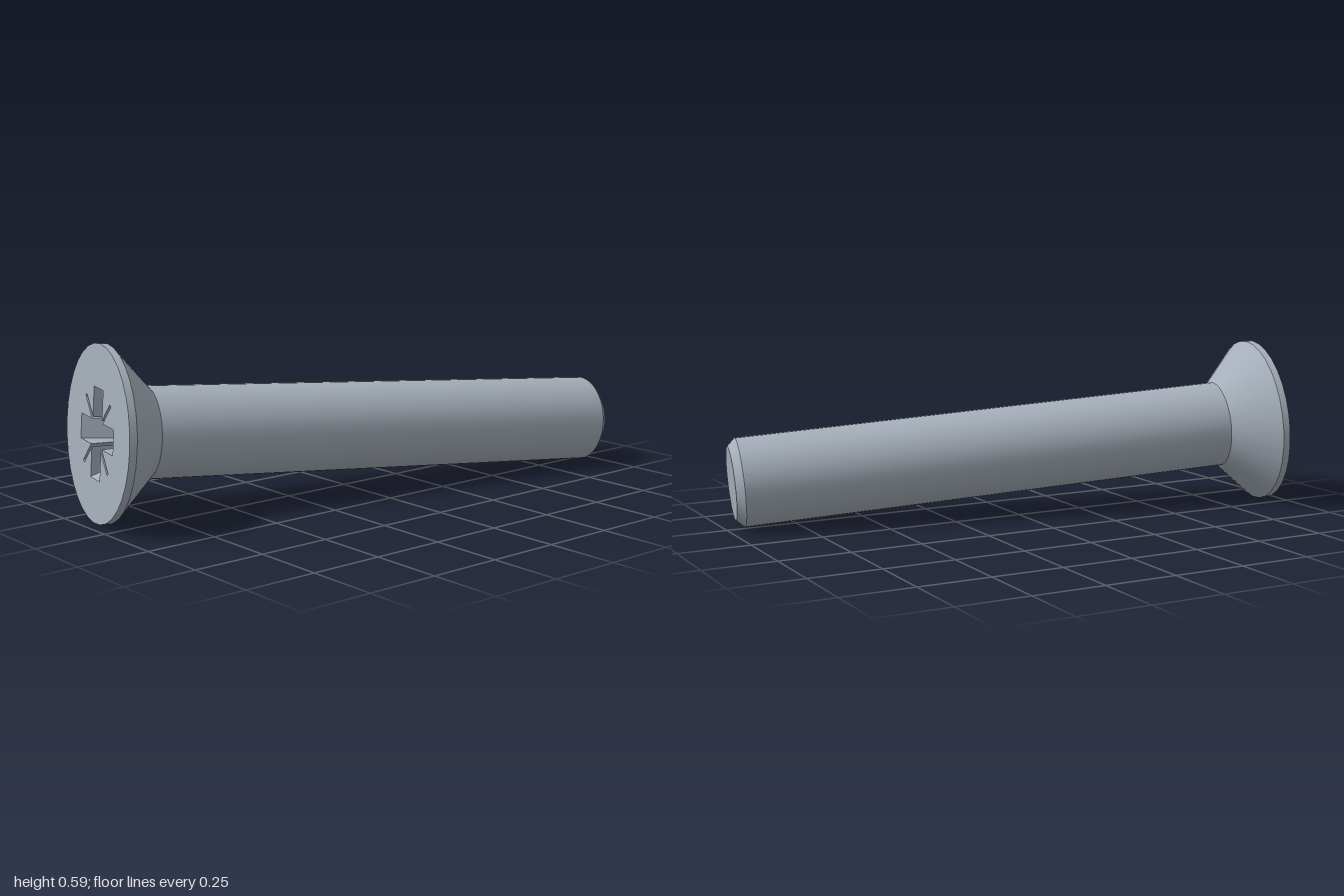
import * as THREE from 'three';

const SIDES = 32;
const HEAD_R = 0.295, SHAFT_R = 0.155, TIP_R = 0.128;
const RIM = 0.025, CONE_END = 0.165;

// Cross outline with a thin slit in each inner corner, counter-clockwise
function crossOutline(arm, half, slit) {
  const quadrant = [
    [arm, -half], [arm, half],
    [half + 0.008, half], [slit + 0.004, slit - 0.004],
    [slit - 0.004, slit + 0.004], [half, half + 0.008],
  ];
  const points = [];
  for (let q = 0; q < 4; q++) {
    for (const [x, y] of quadrant) {
      points.push(new THREE.Vector2(x, y).rotateAround(new THREE.Vector2(), q * Math.PI / 2));
    }
  }
  return points;
}

// Tapered walls joining two outlines, facing into the recess
function recessWalls(top, bottom, depth) {
  const pos = [];
  top.forEach((a, i) => {
    const j = (i + 1) % top.length;
    const b = top[j], c = bottom[i], d = bottom[j];
    pos.push(a.x, a.y, 0, b.x, b.y, 0, c.x, c.y, -depth);
    pos.push(b.x, b.y, 0, d.x, d.y, -depth, c.x, c.y, -depth);
  });
  const geo = new THREE.BufferGeometry();
  geo.setAttribute('position', new THREE.Float32BufferAttribute(pos, 3));
  geo.computeVertexNormals();
  return geo;
}

export function createModel() {
  const group = new THREE.Group();
  group.name = 'countersunkScrew';
  const steel = new THREE.MeshStandardMaterial({ color: 0xa6afba });
  steel.name = 'steel';

  // Screw axis from the centre of the head face to the centre of the tip
  const head = new THREE.Vector3(-0.936, 0.295, -0.133);
  const tip = new THREE.Vector3(0.972, 0.156, 0.272);
  const axis = tip.clone().sub(head);
  const length = axis.length();
  axis.normalize();

  const screw = new THREE.Group();
  screw.name = 'screw';
  group.add(screw);
  const add = (name, geometry) => {
    const mesh = new THREE.Mesh(geometry, steel);
    mesh.name = name;
    screw.add(mesh);
    return mesh;
  };

  // Turned sections, separate so the edges between them stay sharp
  const chamfer = length - 0.028;
  const sections = [
    ['headRim', HEAD_R, 0, HEAD_R, RIM],
    ['headCone', HEAD_R, RIM, SHAFT_R, CONE_END],
    ['shaft', SHAFT_R, CONE_END, SHAFT_R, chamfer],
    ['tipChamfer', SHAFT_R, chamfer, TIP_R, length],
    ['tipFace', TIP_R, length, 0, length],
  ];
  for (const [name, r0, y0, r1, y1] of sections) {
    add(name, new THREE.LatheGeometry([new THREE.Vector2(r0, y0), new THREE.Vector2(r1, y1)], SIDES));
  }

  // Flat head face with the drive recess cut into it
  const depth = 0.14;
  const top = crossOutline(0.15, 0.042, 0.112);
  const bottom = crossOutline(0.085, 0.034, 0.042);
  const rim = [];
  for (let i = 0; i < SIDES; i++) {
    const a = i / SIDES * Math.PI * 2;
    rim.push(new THREE.Vector2(HEAD_R * Math.cos(a), HEAD_R * Math.sin(a)));
  }
  const face = new THREE.Shape(rim);
  face.holes.push(new THREE.Path(top));
  const floor = new THREE.ShapeGeometry(new THREE.Shape(bottom)).translate(0, 0, -depth);
  add('headFace', new THREE.ShapeGeometry(face).rotateX(Math.PI / 2));
  add('recessWalls', recessWalls(top, bottom, depth).rotateX(Math.PI / 2));
  add('recessFloor', floor.rotateX(Math.PI / 2));

  // Lay the screw along its axis, keeping one arm of the cross upright
  const up = new THREE.Vector3(0, 1, 0).addScaledVector(axis, -axis.y).normalize();
  const side = new THREE.Vector3().crossVectors(axis, up);
  screw.quaternion.setFromRotationMatrix(new THREE.Matrix4().makeBasis(side, axis, up));
  screw.position.copy(head);
  return group;
}
